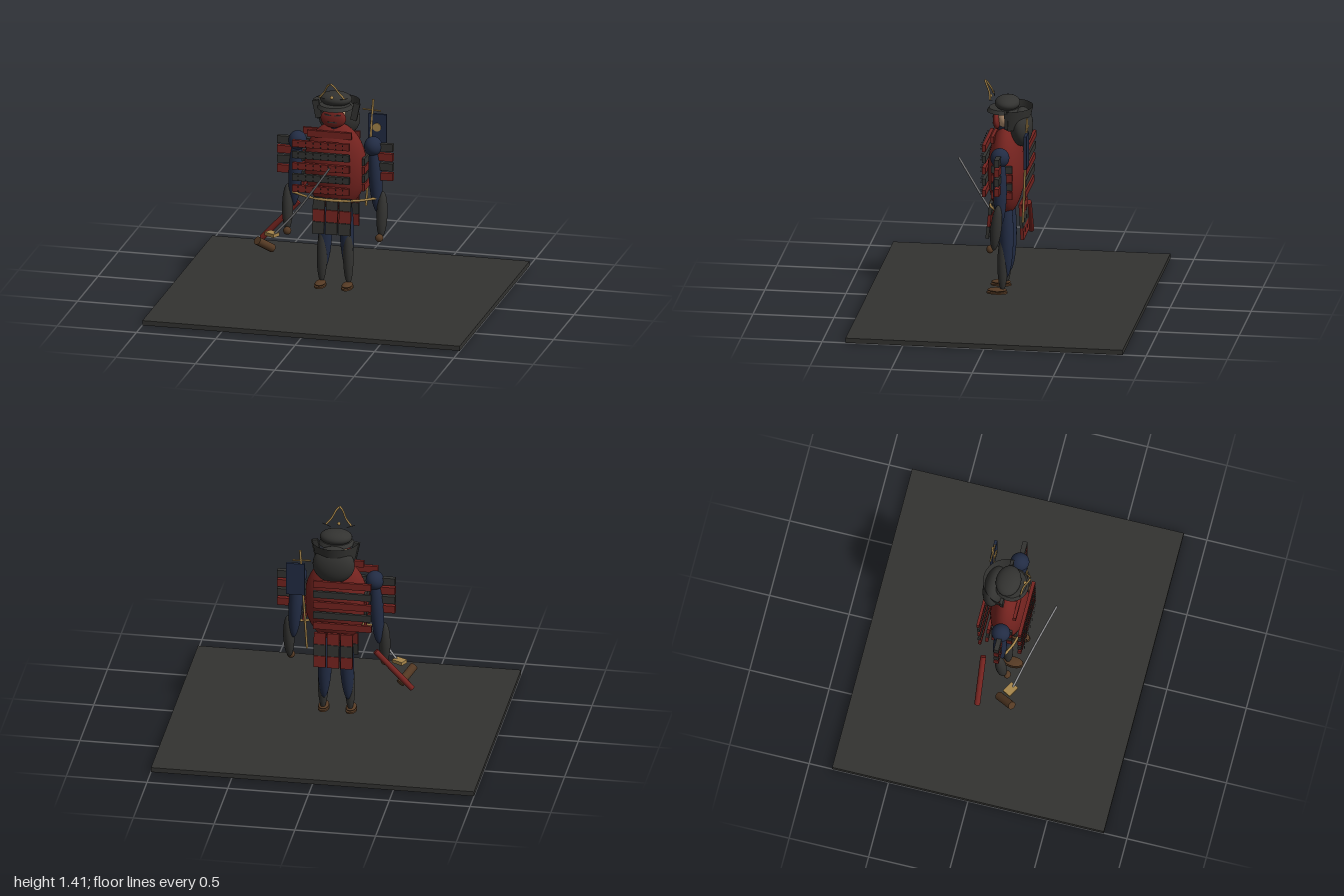
import * as THREE from 'three';

const COLORS = {
  dark: 0x333331, red: 0x74231f, navy: 0x222c44, gold: 0xa8874c,
  brown: 0x553a24, skin: 0xc09a78, steel: 0x9a9a9c,
};
const mats = {};
for (const k in COLORS) mats[k] = new THREE.MeshStandardMaterial({ color: COLORS[k] });
const V = (x, y, z) => new THREE.Vector3(x, y, z);
const UP = V(0, 1, 0);

export function createModel() {
  const model = new THREE.Group();

  function add(name, geo, color, x = 0, y = 0, z = 0) {
    const mesh = new THREE.Mesh(geo, mats[color]);
    mesh.name = name;
    mesh.position.set(x, y, z);
    model.add(mesh);
    return mesh;
  }
  const box = (name, color, w, h, d, x, y, z) =>
    add(name, new THREE.BoxGeometry(w, h, d), color, x, y, z);
  const ball = (name, color, rx, ry, rz, x, y, z) =>
    add(name, new THREE.SphereGeometry(1, 28, 20).scale(rx, ry, rz), color, x, y, z);
  // Places a part lying along +y between two points
  function span(mesh, a, b) {
    mesh.position.copy(a).lerp(b, 0.5);
    mesh.quaternion.setFromUnitVectors(UP, b.clone().sub(a).normalize());
    return mesh;
  }
  const limb = (name, color, a, b, r) =>
    span(ball(name, color, r, a.distanceTo(b) / 2, r), a, b);
  const rod = (name, color, a, b, r0, r1 = r0) =>
    span(add(name, new THREE.CylinderGeometry(r1, r0, a.distanceTo(b), 16), color), a, b);
  const tube = (name, color, points, r) =>
    add(name, new THREE.TubeGeometry(new THREE.CatmullRomCurve3(points), 32, r, 8), color);

  // Display base
  box('base', 'dark', 2, 0.03, 1.71, 0, 0.015, 0);

  // Torso, neck and head
  ball('torso', 'red', 0.197, 0.28, 0.112, 0, 0.84, 0.01);
  rod('neck', 'navy', V(0, 1.04, 0.02), V(0, 1.15, 0.02), 0.04);
  ball('head', 'skin', 0.065, 0.075, 0.05, 0, 1.18, 0.02);
  ball('faceMask', 'red', 0.08, 0.06, 0.025, 0, 1.16, 0.066);
  for (const s of [-1, 1]) box('eyeSlit', 'dark', 0.04, 0.008, 0.006, s * 0.03, 1.185, 0.086).rotation.z = s * 0.15;
  box('mouth', 'dark', 0.06, 0.007, 0.006, 0, 1.14, 0.088);

  // Helmet: bowl, brim, side turnbacks and flared neck guard
  ball('helmetBowl', 'dark', 0.1, 0.045, 0.077, 0, 1.268, 0.003);
  const brim = add('helmetBrim', new THREE.CylinderGeometry(0.095, 0.11, 0.022, 32), 'dark', 0, 1.228, 0.025);
  brim.scale.z = 0.95;
  ball('backCowl', 'dark', 0.13, 0.12, 0.068, 0, 1.12, -0.085);
  const guard = add('neckGuard',
    new THREE.CylinderGeometry(0.146, 0.118, 0.13, 28, 1, true, Math.PI / 2, Math.PI), 'dark', 0, 1.185, -0.008);
  guard.material = mats.dark.clone();
  guard.material.side = THREE.DoubleSide;
  for (const s of [-1, 1]) {
    const turnback = box('helmetTurnback', 'dark', 0.04, 0.11, 0.02, s * 0.12, 1.19, -0.008);
    turnback.rotation.z = -s * 0.2;
    tube('crestHorn', 'gold', [V(s * 0.078, 1.3, 0.1), V(s * 0.045, 1.34, 0.108),
      V(s * 0.02, 1.385, 0.13), V(0, 1.405, 0.142)], 0.006);
    rod('whisker', 'dark', V(s * 0.05, 1.29, 0.09), V(s * 0.1, 1.305, 0.1), 0.002);
  }
  ball('crestStud', 'gold', 0.011, 0.011, 0.011, 0, 1.305, 0.108);

  // Arms, legs, shoulder guards and side plates
  for (const s of [-1, 1]) {
    ball('shoulder', 'navy', 0.056, 0.06, 0.058, s * 0.238, 0.985, 0.015);
    limb('upperArm', 'navy', V(s * 0.24, 1.02, 0.015), V(s * 0.265, 0.56, 0.01), 0.042);
    limb('forearm', 'dark', V(s * 0.3, 0.7, 0.015), V(s * 0.295, 0.41, 0.045), 0.034);
    ball('hand', 'brown', 0.025, 0.025, 0.022, s * 0.29, 0.415, 0.068);
    limb('thigh', 'navy', V(s * 0.06, 0.7, 0), V(s * 0.075, 0.17, 0.0), 0.044);
    limb('shin', 'dark', V(s * 0.08, 0.44, 0.02), V(s * 0.085, 0.085, 0.022), 0.032);
    ball('foot', 'brown', 0.032, 0.013, 0.06, s * 0.085, 0.093, 0.055);
    const sole = add('sandal', new THREE.CylinderGeometry(1, 1, 0.01, 24), 'brown', s * 0.085, 0.077, 0.055);
    sole.scale.set(0.035, 1, 0.064);
    for (let i = 0; i < 4; i++) {
      const color = i % 2 ? 'red' : 'dark';
      box('shoulderGuardPlate', color, 0.13, 0.048, 0.03, s * 0.3, 0.985 - i * 0.062, 0.017);
      box('sidePlate', color, 0.016, 0.045, 0.13, s * 0.19, 0.895 - i * 0.055, 0.01);
    }
  }

  // Chest and back plates in alternating rows, with lacing studs
  box('collarPlate', 'red', 0.28, 0.042, 0.02, -0.02, 1.058, 0.08);
  for (let i = 0; i < 5; i++) {
    const y = 1.003 - i * 0.072;
    const color = i % 2 ? 'dark' : 'red';
    box('chestPlate', color, 0.36, 0.043, 0.022, -0.06, y, 0.132);
    box('backPlate', color, 0.36, 0.043, 0.018, -0.06, y, -0.13 + i * 0.003);
    for (let j = 0; j < 7; j++)
      for (const dy of [-0.013, 0.013])
        box('lacing', 'dark', 0.005, 0.008, 0.005, -0.2 + j * 0.047, y + dy, 0.154);
  }

  // Skirt plates, front and back
  for (let col = -1; col <= 1; col++)
    for (let row = 0; row < 3; row++) {
      const y = 0.617 - row * 0.076;
      const odd = row % 2;
      box('frontSkirtPlate', odd ? 'red' : 'dark', 0.074, 0.074, 0.02,
        col * 0.083, y, 0.092 + row * 0.008).rotation.x = -0.1;
      box('backSkirtPlate', odd ? 'dark' : 'red', 0.074, 0.074, 0.02,
        col * 0.083, y, -0.095 - row * 0.004).rotation.x = 0.06;
    }
  tube('sash', 'gold', [V(-0.28, 0.66, 0.03), V(-0.15, 0.648, 0.085), V(0, 0.643, 0.1),
    V(0.15, 0.648, 0.085), V(0.28, 0.66, 0.03)], 0.008);

  // Sword with guard and grip, and its scabbard
  tube('swordBlade', 'steel', [V(0.04, 0.92, 0.3), V(-0.09, 0.735, 0.235),
    V(-0.22, 0.56, 0.175), V(-0.36, 0.4, 0.12)], 0.007);
  box('swordGuard', 'gold', 0.075, 0.022, 0.055, -0.375, 0.4, 0.11).rotation.y = -0.5;
  rod('swordGrip', 'brown', V(-0.46, 0.36, 0.14), V(-0.39, 0.285, 0.04), 0.026);
  rod('scabbard', 'red', V(-0.26, 0.555, -0.09), V(-0.485, 0.31, -0.072), 0.018);

  // Back banner with emblem disc, pole and crossbar
  box('banner', 'navy', 0.115, 0.21, 0.018, 0.225, 1.035, -0.146);
  add('bannerDisc', new THREE.CylinderGeometry(0.026, 0.026, 0.01, 24).rotateX(Math.PI / 2), 'gold', 0.223, 1.057, -0.135);
  rod('bannerPole', 'gold', V(0.16, 0.555, -0.115), V(0.197, 1.23, -0.147), 0.007);
  rod('bannerCrossbar', 'gold', V(0.13, 1.165, -0.145), V(0.245, 1.16, -0.145), 0.005);

  return model;
}
